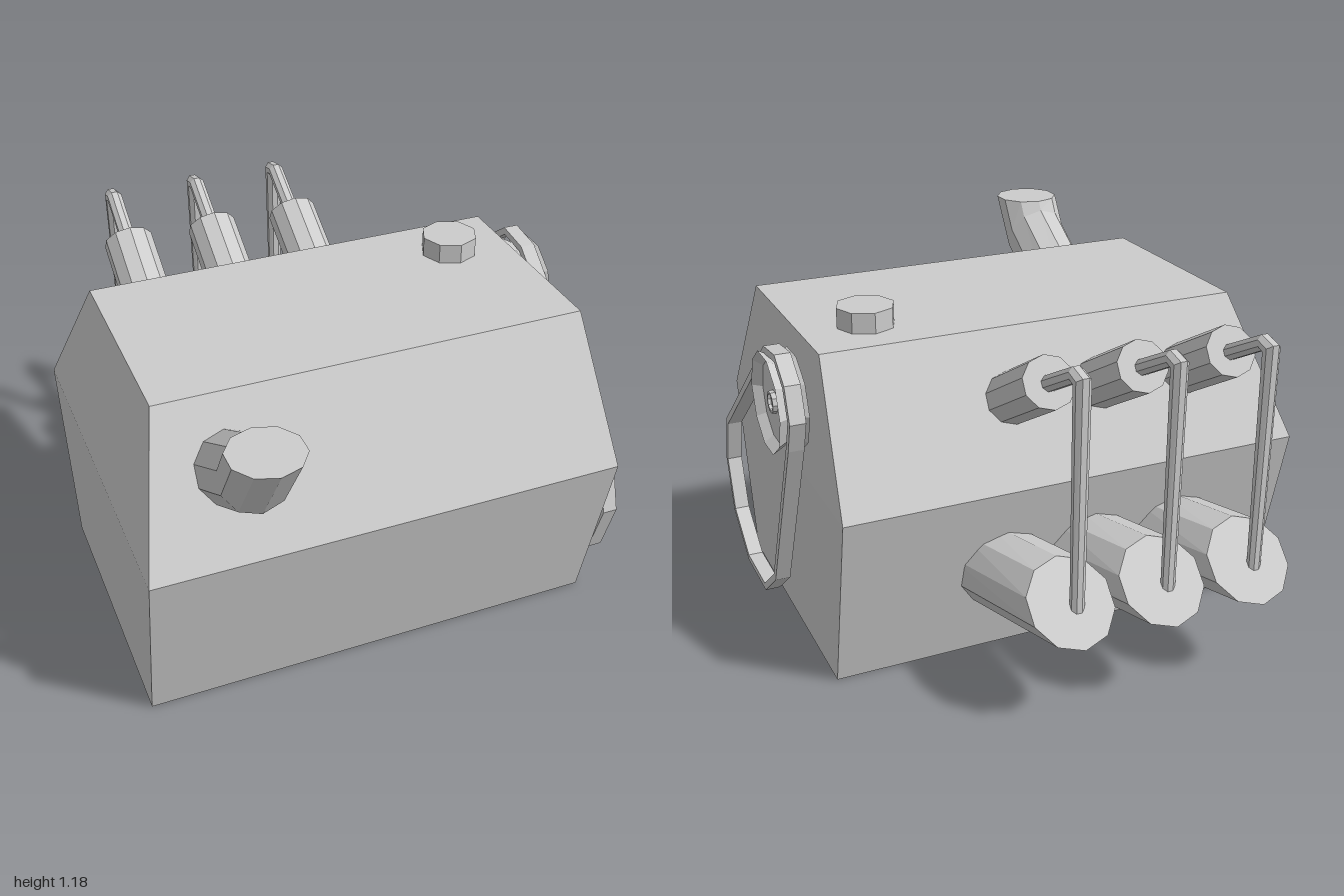
import * as THREE from 'three';

const metal = new THREE.MeshStandardMaterial({ color: 0xcccccc });
metal.name = 'grey metal';

// Flat-faced skin over a list of cross-sections, closed at both ends
function loft(rings) {
  const pos = [];
  const tri = (a, b, c) => pos.push(...a, ...b, ...c);
  const n = rings[0].length;
  for (let r = 0; r < rings.length - 1; r++) {
    const p = rings[r], q = rings[r + 1];
    for (let i = 0; i < n; i++) {
      const j = (i + 1) % n;
      tri(p[i], p[j], q[j]);
      tri(p[i], q[j], q[i]);
    }
  }
  const first = rings[0], last = rings[rings.length - 1];
  for (let i = 1; i < n - 1; i++) {
    tri(first[0], first[i + 1], first[i]);
    tri(last[0], last[i], last[i + 1]);
  }
  const g = new THREE.BufferGeometry();
  g.setAttribute('position', new THREE.Float32BufferAttribute(pos, 3));
  g.computeVertexNormals();
  return g;
}

// Elliptical section: centre, signed half-width along x, and the up vector (y, z)
function section(n, [x, y, z], u, [vy, vz]) {
  return Array.from({ length: n }, (_, i) => {
    const a = ((i + 0.5) / n) * Math.PI * 2;
    const s = Math.sin(a);
    return [x + u * Math.cos(a), y + vy * s, z + vz * s];
  });
}

// Move every edge of a counter-clockwise outline inward by d
function inset(points, d) {
  const n = points.length;
  return points.map((p, i) => {
    const e0 = p.clone().sub(points[(i + n - 1) % n]).normalize();
    const e1 = points[(i + 1) % n].clone().sub(p).normalize();
    const n0 = new THREE.Vector2(-e0.y, e0.x), n1 = new THREE.Vector2(-e1.y, e1.x);
    return n0.clone().add(n1).multiplyScalar(d / (1 + n0.dot(n1))).add(p);
  });
}

export function createModel() {
  const model = new THREE.Group();
  model.name = 'engine';
  const add = (name, geometry, parent = model) => {
    const flat = geometry.index ? geometry.toNonIndexed() : geometry;
    flat.computeVertexNormals();
    const mesh = new THREE.Mesh(flat, metal);
    mesh.name = name;
    parent.add(mesh);
    return mesh;
  };

  // Block: three rectangles stacked in y
  const rect = (y, x0, x1, z0, z1) => [[x1, y, z1], [x1, y, z0], [x0, y, z0], [x0, y, z1]];
  add('engineBlock', loft([
    rect(0, -0.855, 0.75, -0.415, 0.57),
    rect(0.637, -0.855, 0.75, -0.565, 0.712),
    rect(1.09, -0.74, 0.715, -0.295, 0.435),
  ]));

  // Filler cap on top
  add('fillerCap', new THREE.CylinderGeometry(0.097, 0.097, 0.09, 8)).position.set(0.497, 1.113, -0.098);

  // Bent pipe at the front
  add('frontPipe', loft([
    section(10, [-0.535, 0.83, 0.46], 0.117, [0.105, -0.06]),
    section(10, [-0.535, 1.035, 0.79], 0.117, [0.11, -0.045]),
    section(10, [-0.535, 1.176, 0.882], 0.117, [0.002, -0.12]),
  ]));

  // Three cylinders, each with a feed line down to a slanted canister
  [-0.507, -0.19, 0.127].forEach((x, i) => {
    const unit = new THREE.Group();
    unit.name = 'rearUnit' + (i + 1);
    model.add(unit);
    add('upperCylinder', loft([
      section(10, [x, 0.885, -0.4], -0.088, [0.075, 0.044]),
      section(10, [x, 1.045, -0.68], -0.088, [0.073, 0.045]),
    ]), unit);
    add('feedLine', loft([
      section(8, [x, 1.01, -0.62], -0.028, [0.024, 0.014]),
      section(8, [x + 0.003, 1.135, -0.855], -0.028, [0.026, 0.005]),
      section(8, [x + 0.004, 1.125, -0.892], -0.028, [0.02, -0.025]),
      section(8, [x + 0.004, 0.37, -0.9], -0.024, [0, -0.018]),
    ]), unit);
    add('lowerCanister', loft([
      section(10, [x + 0.082, 0.318, -0.4], -0.143, [0.137, 0.02]),
      section(10, [x + 0.02, 0.408, -0.89], -0.143, [0.108, 0.105]),
    ]), unit);
  });

  // Grooved, dished pulley with its hub on the model's left end
  const pulley = new THREE.Group();
  pulley.name = 'pulley';
  pulley.position.set(0.8, 0.89, -0.13);
  pulley.rotation.z = -Math.PI / 2;
  model.add(pulley);
  const profile = [
    [0, -0.02], [0.14, -0.02], [0.167, -0.045], [0.14, 0], [0.167, 0.05], [0.14, 0.02],
    [0.038, 0.02], [0.036, 0.035], [0.028, 0.035], [0.028, 0.025], [0, 0.025],
  ].map(([r, h]) => new THREE.Vector2(r, h));
  add('pulleyWheel', new THREE.LatheGeometry(profile, 10), pulley);
  add('pulleyShaft', new THREE.CylinderGeometry(0.03, 0.03, 0.1, 8), pulley).position.y = -0.06;

  // Belt loop: outline given as (-z, y), extruded along x
  const outline = [
    [-0.575, 0.17], [-0.4, 0.043], [-0.16, 0.043], [0, 0.17], [0.295, 0.785], [0.335, 0.89],
    [0.298, 1.005], [0.205, 1.075], [0.075, 1.06], [-0.575, 0.55], [-0.635, 0.37],
  ].map(([a, b]) => new THREE.Vector2(a, b));
  const beltShape = new THREE.Shape(outline);
  beltShape.holes.push(new THREE.Path(inset(outline, 0.024)));
  const belt = add('belt', new THREE.ExtrudeGeometry(beltShape, { depth: 0.052, bevelEnabled: false }));
  belt.rotation.y = Math.PI / 2;
  belt.position.x = 0.778;

  return model;
}
